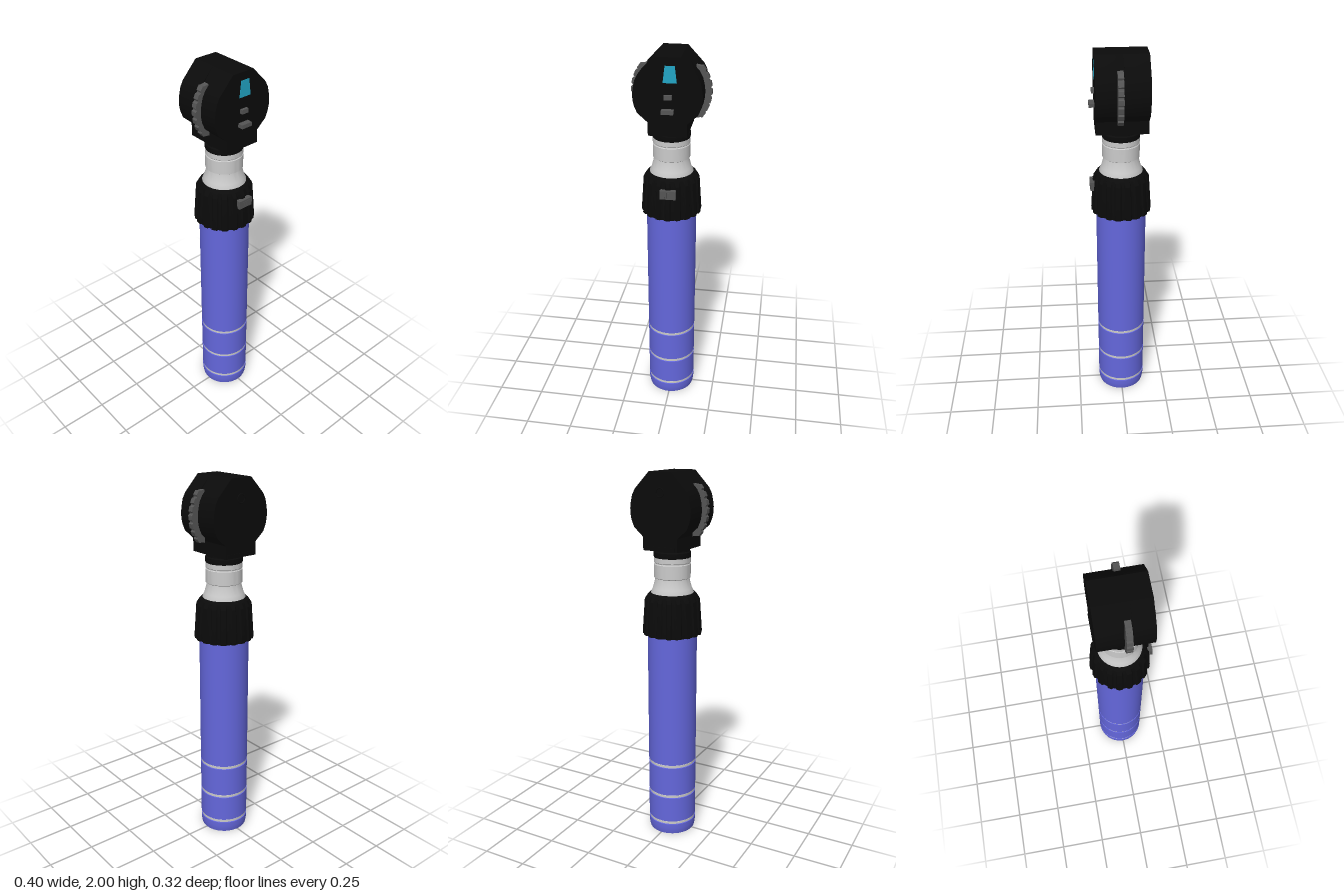
import * as THREE from 'three';
import { toCreasedNormals } from 'three/addons/utils/BufferGeometryUtils.js';

const material = (color) => new THREE.MeshStandardMaterial({ color });
const black = material(0x0b0b0b);
const grey = material(0x555555);
const silver = material(0xcccccc);
const blue = material(0x6467dc);
const cyan = material(0x22a5c5);

const V = (x, y) => new THREE.Vector2(x, y);

function add(parent, name, geometry, mat, x = 0, y = 0, z = 0) {
  const mesh = new THREE.Mesh(geometry, mat);
  mesh.name = name;
  mesh.position.set(x, y, z);
  parent.add(mesh);
  return mesh;
}

// Turned part from [radius, height] pairs, listed so the surface faces outward
const turned = (pairs, segments = 64) =>
  toCreasedNormals(new THREE.LatheGeometry(pairs.map(([r, y]) => V(r, y)), segments), 0.5);

// Flat outline extruded from z0 to z1
function slab(points, z0, z1) {
  const geometry = new THREE.ExtrudeGeometry(new THREE.Shape(points), { depth: z1 - z0, bevelEnabled: false });
  return toCreasedNormals(geometry.translate(0, 0, z0), 0.4);
}

// Collar with evenly spaced raised ribs
function ribbedCollar() {
  const ribs = 18, steps = 8;
  const geometry = new THREE.LatheGeometry(
    [[0.12, 1.16], [0.149, 1.16], [0.15, 1.175], [0.138, 1.345], [0.13, 1.37], [0.118, 1.382], [0.1, 1.382]]
      .map(([r, y]) => V(r, y)), ribs * steps);
  const p = geometry.attributes.position;
  for (let i = 0; i < p.count; i++) {
    const x = p.getX(i), y = p.getY(i), z = p.getZ(i), r = Math.hypot(x, z);
    if (r < 0.135) continue;
    const phase = ((Math.atan2(x, z) / (2 * Math.PI)) * ribs + ribs + 0.25) % 1;
    const scale = phase < 0.52 ? 1 + 0.008 / r : 1;
    p.setXYZ(i, x * scale, y, z * scale);
  }
  return toCreasedNormals(geometry, 0.4);
}

// Exposed arc of the thumb wheel, with a toothed rim
function wheelArc() {
  const points = [], teeth = 7, span = 0.72;
  for (let i = 0; i < teeth; i++) {
    [[0, 0.192], [0.15, 0.2], [0.7, 0.2], [0.85, 0.192]].forEach(([t, r]) => {
      const a = -span + (2 * span * (i + t)) / (teeth - 0.15);
      points.push(V(r * Math.cos(a), r * Math.sin(a)));
    });
  }
  points.push(V(0.12, 0.13), V(0.12, -0.13));
  return slab(points, -0.004, 0.025);
}

export function createModel() {
  const model = new THREE.Group();
  model.name = 'diagnosticScope';
  const shaft = new THREE.Group();
  shaft.name = 'shaft';
  shaft.position.set(-0.003, 0, -0.002);
  model.add(shaft);

  // Handle sleeve, with narrow grooves for the rings
  const R = 0.132, ringHeights = [0.07, 0.235, 0.42];
  const sleeve = [[0.122, 0], [0.126, 0], [0.129, 0.012], [R, 0.035]];
  ringHeights.forEach((y) => sleeve.push([R, y - 0.01], [0.125, y - 0.008], [0.125, y + 0.008], [R, y + 0.01]));
  sleeve.push([R, 1.17]);
  add(shaft, 'handle', turned(sleeve), blue);
  add(shaft, 'handleInside', turned([[0, 0.3], [0.122, 0.3], [0.122, 0]]), silver);
  ringHeights.forEach((y) =>
    add(shaft, 'handleRing', turned([[0.124, y - 0.008], [0.129, y - 0.007], [0.129, y + 0.007], [0.124, y + 0.008]]), silver));

  // Collar and its release button
  add(shaft, 'collar', ribbedCollar(), black);
  add(shaft, 'collarButton', new THREE.BoxGeometry(0.082, 0.045, 0.03), grey, 0.004, 1.308, 0.147);
  for (let i = 0; i < 4; i++) {
    add(shaft, 'buttonGrip', new THREE.BoxGeometry(0.008, 0.03, 0.003), grey, -0.016 + i * 0.013, 1.308, 0.162);
  }

  // Metal neck and dark coupling below the head
  add(shaft, 'neck', turned([[0.113, 1.375], [0.113, 1.385], [0.103, 1.405], [0.092, 1.445], [0.09, 1.458],
    [0.096, 1.462], [0.096, 1.532], [0.093, 1.535], [0.093, 1.539], [0.096, 1.542], [0.096, 1.567], [0, 1.567]]), silver);
  add(shaft, 'coupling', turned([[0, 1.566], [0.095, 1.566], [0.097, 1.572], [0.097, 1.595], [0.09, 1.6], [0.09, 1.615]]), black);

  // Head: two full cheeks and a narrower core that leaves the wheel slots
  const head = new THREE.Group();
  head.name = 'head';
  head.position.x = -0.003;
  model.add(head);
  const right = [V(0.097, 1.612), V(0.097, 1.68), V(0.148, 1.725), V(0.163, 1.76), V(0.169, 1.79),
    V(0.17, 1.82), V(0.166, 1.85), V(0.158, 1.885), V(0.142, 1.915), V(0.062, 2)];
  const outline = [...right, ...right.map((p) => V(-p.x, p.y)).reverse()];
  const core = outline.map((p) => V(THREE.MathUtils.clamp(p.x, -0.132, 0.132), p.y));
  add(head, 'backCheek', slab(outline, -0.134, -0.009), black);
  add(head, 'headCore', slab(core, -0.009, 0.03), black);
  add(head, 'frontCheek', slab(outline, 0.03, 0.13), black);
  add(head, 'headFoot', new THREE.BoxGeometry(0.17, 0.02, 0.02), black, 0, 1.624, -0.127);

  // Thumb wheel showing on both sides
  [0, Math.PI].forEach((turn) => {
    const wheel = add(model, 'thumbWheel', wheelArc(), grey, 0, 1.81, turn ? 0.021 : 0);
    wheel.rotation.y = turn;
  });

  // Front window, dial marker and slider
  add(head, 'window', slab([V(-0.022, 1.878), V(0.046, 1.878), V(0.036, 1.96), V(-0.012, 1.96)], 0.125, 0.132), cyan);
  add(head, 'marker', new THREE.BoxGeometry(0.038, 0.022, 0.03), grey, 0.003, 1.81, 0.13);
  add(head, 'slider', new THREE.BoxGeometry(0.06, 0.02, 0.04), grey, 0.003, 1.742, 0.139);

  // Viewing port at the back
  add(head, 'eyePort', new THREE.TorusGeometry(0.022, 0.003, 8, 32), black, 0, 1.9, -0.134);
  return model;
}
